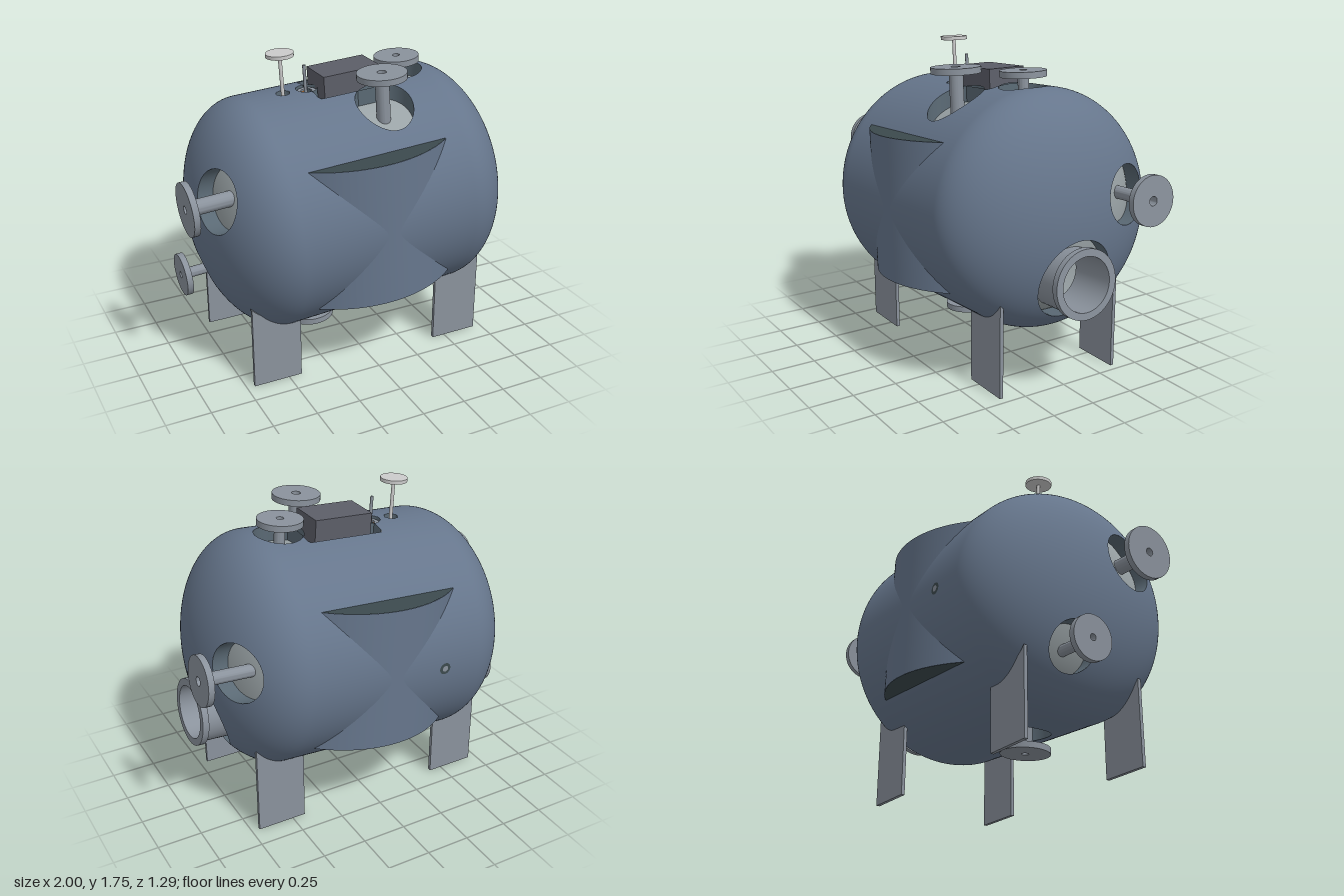
import * as THREE from 'three';
import { mergeVertices, toCreasedNormals } from 'three/addons/utils/BufferGeometryUtils.js';

const HALF = 0.5;
const OUTER = { r: 0.645, head: 0.375 }, INNER = { r: 0.56, head: 0.29 };
const paint = (color, side = THREE.FrontSide) => new THREE.MeshStandardMaterial({ color, side });
const blue = paint(0x66768c, THREE.DoubleSide), steel = paint(0x8a929c);
const lining = paint(0x9aa3a6, THREE.DoubleSide), dark = paint(0x3c4a4e, THREE.DoubleSide);
const wall = paint(0x5a6974, THREE.DoubleSide);
const charcoal = paint(0x5c5e68), orange = paint(0xc87a38), light = paint(0xcccccc);

function add(parent, name, geometry, material, x = 0, y = 0, z = 0) {
  const m = new THREE.Mesh(geometry, material);
  m.name = name;
  m.position.set(x, y, z);
  parent.add(m);
  return m;
}

// Openings in the jacket: axis and side they face, centre, half sizes
const round = (axis, side, u, v, r) => ({ axis, side, u, v, norm: (a, b) => Math.hypot(a, b) / r });
const openings = [
  round('x', -1, 0.23, 0.23, 0.17),
  round('x', -1, -0.337, -0.13, 0.13),
  round('x', 1, 0.068, -0.36, 0.16),
  round('x', 1, -0.325, 0, 0.22),
  round('y', 1, 0.16, 0.28, 0.155),
  round('y', 1, 0.395, 0, 0.135),
  round('y', -1, -0.247, 0, 0.135),
  round('y', 1, -0.3, 0, 0.04),
  round('y', 1, -0.163, 0, 0.06),
  { axis: 'y', side: 1, u: 0.07, v: 0, norm: (a, b) => Math.max(Math.abs(a) / 0.225, Math.abs(b) / 0.155) },
];
// Openings in the vessel itself: manway and one bore
const bores = [round('x', 1, -0.33, 0, 0.15), round('y', 1, 0.39, 0, 0.027)];

// Point of a dished shell on the line through (a, z) along the opening's axis
function onShell(o, a, z, { r, head }) {
  if (o.axis === 'x') {
    const q = Math.sqrt(Math.max(0, 1 - (a * a + z * z) / (r * r)));
    return [o.side * (HALF + head * q), a, z];
  }
  const t = Math.max(0, Math.abs(a) - HALF) / head;
  return [a, o.side * Math.sqrt(Math.max(0, r * r * (1 - t * t) - z * z)), z];
}

// Shell along x with dished ends, triangles inside the cuts removed
function shellGeometry(size, cuts) {
  const { r, head } = size, N = 44, pts = [];
  const end = (i, s) => {
    const a = (i / N) * Math.PI / 2;
    pts.push(new THREE.Vector2(r * Math.sin(a), s * (HALF + head * Math.cos(a))));
  };
  for (let i = 0; i <= N; i++) end(i, -1);
  for (let i = 1; i < 50; i++) pts.push(new THREE.Vector2(r, -HALF + (2 * HALF * i) / 50));
  for (let i = N; i >= 0; i--) end(i, 1);
  let g = new THREE.LatheGeometry(pts, 160).rotateZ(-Math.PI / 2);
  g.deleteAttribute('normal');
  g.deleteAttribute('uv');
  g = mergeVertices(g, 1e-5);
  const p = g.attributes.position;
  const inside = new Uint8Array(p.count);
  const v = new THREE.Vector3();
  for (let i = 0; i < p.count; i++) {
    v.fromBufferAttribute(p, i);
    for (const o of cuts) {
      if (v[o.axis] * o.side < 0.2) continue;
      const du = (o.axis === 'x' ? v.y : v.x) - o.u, dv = v.z - o.v;
      const d = o.norm(du, dv);
      if (d >= 1) continue;
      inside[i] = 1;
      // slide the point out to the rim, staying on the shell
      const s = 1 / Math.max(d, 1e-3);
      p.setXYZ(i, ...onShell(o, o.u + du * s, o.v + dv * s, size));
    }
  }
  const old = g.index.array, keep = [];
  for (let i = 0; i < old.length; i += 3) {
    const [a, b, c] = old.slice(i, i + 3);
    if (a === b || b === c || a === c || (inside[a] && inside[b] && inside[c])) continue;
    keep.push(a, b, c);
  }
  g.setIndex(keep);
  g.computeVertexNormals();
  return g;
}

// Side wall of an opening, from the jacket down to the vessel
function openingWall(o) {
  const n = 64, pos = [], index = [];
  for (let i = 0; i < n; i++) {
    const t = ((i + 0.5) / n) * Math.PI * 2, k = 1 / o.norm(Math.cos(t), Math.sin(t));
    const a = o.u + Math.cos(t) * k, z = o.v + Math.sin(t) * k;
    pos.push(...onShell(o, a, z, OUTER), ...onShell(o, a, z, INNER));
    const b = 2 * i, c = 2 * ((i + 1) % n);
    index.push(b, c, b + 1, c, c + 1, b + 1);
  }
  const g = new THREE.BufferGeometry();
  g.setAttribute('position', new THREE.Float32BufferAttribute(pos, 3));
  g.setIndex(index);
  g.computeVertexNormals();
  return g;
}

// Turned part standing on y = 0, sharp edges kept
function turned(profile, segments = 48) {
  const pts = profile.map(([x, y]) => new THREE.Vector2(x, y));
  return toCreasedNormals(new THREE.LatheGeometry(pts, segments), 0.5);
}

// Pipe with a bored flange at its far end; tip is the outer flange face
function nozzle(parent, name, tip, dir, length, pipeR, flangeR, bore, t = 0.034) {
  const g = turned([[bore, 0], [pipeR, 0], [pipeR, length - t], [flangeR, length - t],
    [flangeR, length], [bore, length], [bore, 0]]);
  const m = add(parent, name, g, steel);
  const d = new THREE.Vector3(...dir);
  m.quaternion.setFromUnitVectors(new THREE.Vector3(0, 1, 0), d);
  m.position.set(...tip).addScaledVector(d, -length);
}

export function createModel() {
  const model = new THREE.Group();
  model.name = 'tank';
  const body = new THREE.Group();
  body.name = 'vessel';
  body.position.y = 0.895;
  body.rotation.z = 0.063;
  model.add(body);

  add(body, 'jacket', shellGeometry(OUTER, openings), blue);
  add(body, 'innerVessel', shellGeometry(INNER, bores), lining);
  for (const o of openings) add(body, 'openingWall', openingWall(o), wall);

  // Curved saddle panels on front and back, with flat lens-shaped ends
  const R = OUTER.r, h = 0.4, ang = Math.asin(h / R);
  const lens = new THREE.Shape();
  lens.absarc(0, 0, R, Math.PI / 2 - ang, Math.PI / 2 + ang, false);
  lens.closePath();
  for (const s of [1, -1]) {
    const side = new THREE.Group();
    side.name = s > 0 ? 'frontPanel' : 'backPanel';
    side.rotation.y = s > 0 ? 0 : Math.PI;
    body.add(side);
    add(side, 'panelWall', new THREE.CylinderGeometry(R + 0.001, R + 0.001, 2 * h, 48, 1, true, -ang, 2 * ang), blue);
    for (const y of [h, -h]) {
      add(side, 'panelEnd', new THREE.ShapeGeometry(lens, 40).rotateX(Math.PI / 2), dark, 0, y, 0);
    }
  }

  // Flanged nozzles
  nozzle(body, 'leftUpperNozzle', [-0.975, 0.23, 0.23], [-1, 0, 0], 0.28, 0.042, 0.145, 0.022);
  nozzle(body, 'leftLowerNozzle', [-0.953, -0.337, -0.13], [-1, 0, 0], 0.25, 0.03, 0.12, 0.018);
  nozzle(body, 'rightUpperNozzle', [1.0, 0.068, -0.36], [1, 0, 0], 0.34, 0.035, 0.135, 0.025);
  nozzle(body, 'topFrontNozzle', [0.157, 0.747, 0.27], [0, 1, 0], 0.28, 0.038, 0.135, 0.025);
  nozzle(body, 'topRightNozzle', [0.39, 0.722, 0], [0, 1, 0], 0.2, 0.03, 0.125, 0.02);
  nozzle(body, 'bottomNozzle', [-0.247, -0.748, 0], [0, -1, 0], 0.22, 0.035, 0.135, 0.02);

  // Manway, an open short tube with a rim
  nozzle(body, 'manway', [0.903, -0.328, 0], [1, 0, 0], 0.28, 0.172, 0.188, 0.148, 0.036);

  // Float and its backing inside the vessel
  const bar = new THREE.CylinderGeometry(0.13, 0.13, 0.75, 40).rotateZ(Math.PI / 2);
  add(body, 'innerFloat', bar, orange, 0.1, -0.335, 0);
  const back = new THREE.CylinderGeometry(0.14, 0.14, 0.02, 40).rotateZ(Math.PI / 2);
  add(body, 'innerPlate', back, paint(0x4a70b0), -0.3, -0.27, 0);

  // Control box standing in its recess
  add(body, 'controlBox', new THREE.BoxGeometry(0.34, 0.18, 0.22), charcoal, 0.065, 0.634, 0);

  // Mushroom vent and thin probe
  const vent = turned([[0, 0], [0.01, 0], [0.01, 0.3], [0.075, 0.3], [0.075, 0.32], [0, 0.32]], 32);
  add(body, 'vent', vent, light, -0.3, 0.55, 0);
  add(body, 'probe', new THREE.CylinderGeometry(0.009, 0.009, 0.22, 16), steel, -0.167, 0.665, 0);
  const collar = turned([[0.03, 0], [0.052, 0], [0.052, 0.08], [0.03, 0.08], [0.03, 0]], 32);
  add(body, 'probeCollar', collar, steel, -0.163, 0.55, 0);
  add(body, 'probeSeat', new THREE.CylinderGeometry(0.03, 0.03, 0.04, 24), orange, -0.163, 0.6, 0);

  // Small gauge port, flush with the back
  add(body, 'gaugePort', new THREE.CircleGeometry(0.033, 32).rotateY(Math.PI), dark, -0.3, 0, -R - 0.001);
  add(body, 'gaugeBore', new THREE.CircleGeometry(0.017, 24).rotateY(Math.PI), steel, -0.3, 0, -R - 0.003);

  // Four plate legs, tops following the shell
  for (const sx of [1, -1]) {
    const lift = sx * 0.02;
    const s = new THREE.Shape();
    s.moveTo(sx * 0.425, 0);
    s.lineTo(sx * 0.705, 0);
    s.lineTo(sx * 0.705, 0.5 + lift);
    s.quadraticCurveTo(sx * 0.61, 0.395 + lift, sx * 0.425, 0.385 + lift);
    s.closePath();
    for (const z of [0.37, -0.37]) {
      const g = new THREE.ExtrudeGeometry(s, { depth: 0.02, bevelEnabled: false, curveSegments: 12 });
      add(model, 'leg', g, steel, 0, 0, z - 0.01);
    }
  }
  return model;
}
